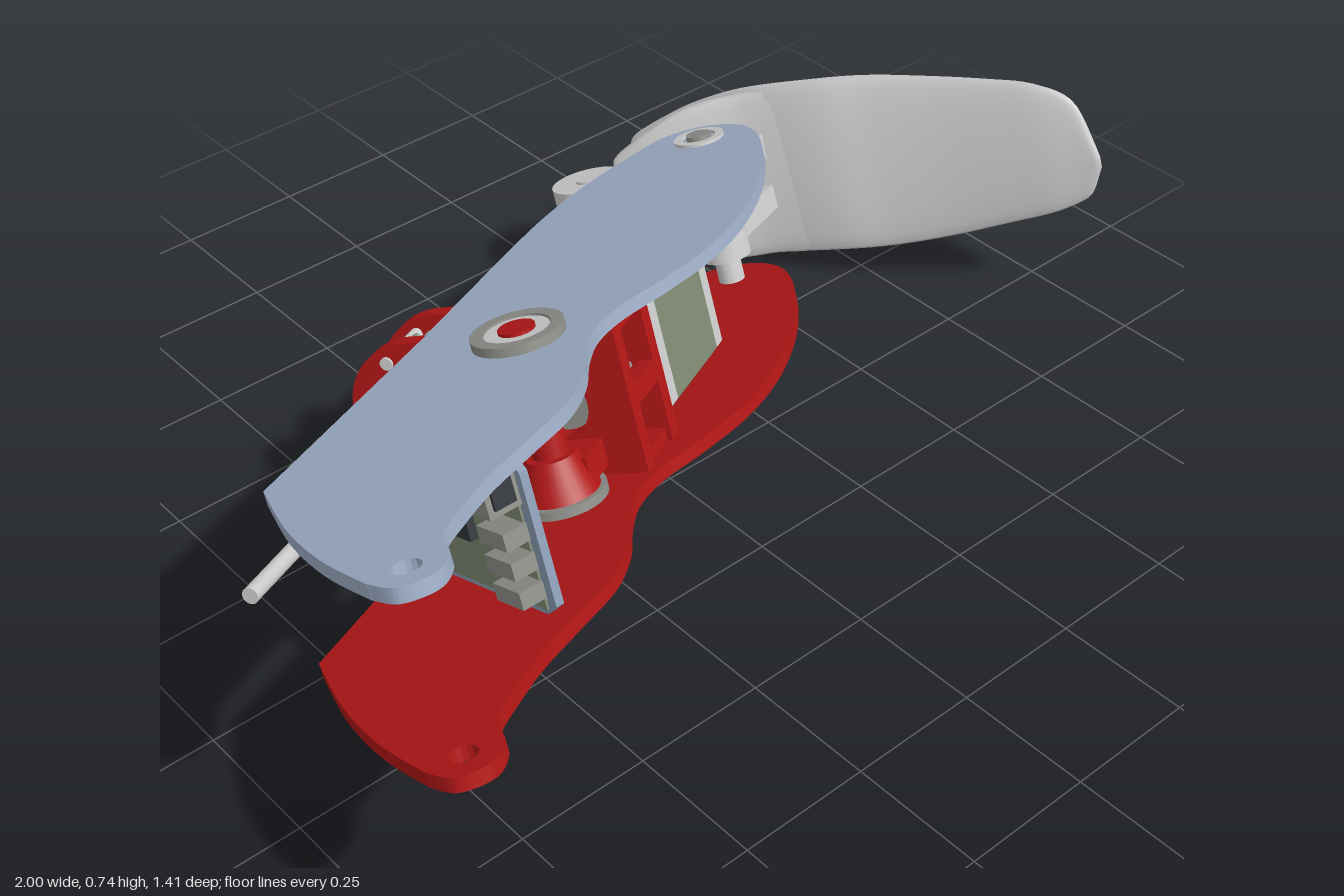
import * as THREE from 'three';

const mat = (color) => new THREE.MeshStandardMaterial({ color });
const GREY = mat(0xcccccc), BLUE = mat(0x9cacc4), RED = mat(0xb01616);
const GREEN = mat(0x7d8870), DARK = mat(0x30343a), BOARD = mat(0x8a9cb4), STEEL = mat(0x8d8d88);
const MID = 0.327; // height halfway between the two plates

function add(parent, name, geo, material, x = 0, y = 0, z = 0) {
  const m = new THREE.Mesh(geo, material);
  m.name = name;
  m.position.set(x, y, z);
  parent.add(m);
  return m;
}
const box = (w, h, d) => new THREE.BoxGeometry(w, h, d);
const cyl = (r, h, r2 = r, n = 32) => new THREE.CylinderGeometry(r, r2, h, n);
const cylX = (r, h, r2 = r, n = 32) => cyl(r, h, r2, n).rotateZ(-Math.PI / 2);
const hole = (x, y, r) => new THREE.Path().absarc(x, y, r, 0, Math.PI * 2, true);
const extrude = (s, depth, curveSegments = 24) =>
  new THREE.ExtrudeGeometry(s, { depth, bevelEnabled: false, curveSegments });

// flat ring lying around the vertical axis
function ring(rOut, rIn, h) {
  const s = new THREE.Shape().absarc(0, 0, rOut, 0, Math.PI * 2);
  s.holes.push(hole(0, 0, rIn));
  return extrude(s, h, 32).rotateX(Math.PI / 2).translate(0, h / 2, 0);
}

// toothed wheel whose axis is x
function gear(r, h, teeth) {
  const s = new THREE.Shape();
  for (let i = 0; i < teeth * 4; i++) {
    const a = (i / (teeth * 4)) * Math.PI * 2, k = i % 4 < 2 ? r : r * 0.87;
    s[i ? 'lineTo' : 'moveTo'](k * Math.cos(a), k * Math.sin(a));
  }
  s.holes.push(hole(0, 0, r * 0.25));
  return extrude(s, h).rotateY(Math.PI / 2).translate(-h / 2, 0, 0);
}

// side plate: curved outline with an eye at the far end
function plateGeometry() {
  const s = new THREE.Shape();
  const pts = (list) => list.map(([x, y]) => new THREE.Vector2(x, y));
  s.moveTo(-0.914, 0.304);
  s.lineTo(-0.449, 0.048);
  s.splineThru(pts([[-0.182, -0.11], [0.005, -0.215], [0.166, -0.282], [0.353, -0.328], [0.42, -0.33],
    [0.481, -0.293], [0.508, -0.219], [0.481, -0.134], [0.406, -0.032], [0.299, 0.077], [0.166, 0.179],
    [0.032, 0.247], [-0.102, 0.281], [-0.209, 0.298], [-0.289, 0.332], [-0.353, 0.389], [-0.422, 0.469],
    [-0.503, 0.532], [-0.61, 0.577], [-0.717, 0.622], [-0.797, 0.668], [-0.86, 0.712], [-0.884, 0.765],
    [-0.93, 0.799], [-0.984, 0.782], [-1, 0.731]]));
  s.splineThru(pts([[-0.995, 0.604], [-0.968, 0.463], [-0.914, 0.304]]));
  s.holes.push(hole(-0.941, 0.742, 0.023));
  return extrude(s, 0.025, 8).rotateX(Math.PI / 2);
}

// fin blade: lens-shaped sections along a path; stations are [x, z, top, bottom]
function bladeGeometry(stations, thick) {
  const path = new THREE.CatmullRomCurve3(stations.map(([x, z, t, b]) => new THREE.Vector3(x, (t + b) / 2, z)));
  const size = new THREE.CatmullRomCurve3(stations.map(([, , t, b], i) => new THREE.Vector3((t - b) / 2, i, 0)));
  const N = 60, M = 24, pos = [], idx = [];
  const up = new THREE.Vector3(0, 1, 0);
  for (let i = 0; i <= N; i++) {
    const s = i / N, p = path.getPoint(s), h = Math.max(0.001, size.getPoint(s).x);
    const n = path.getTangent(s).setY(0).normalize();
    n.crossVectors(up, n);
    const t = (thick / 2) * Math.pow(Math.max(0, Math.sin(Math.PI * s)), 0.4) + 0.001;
    for (let j = 0; j < M; j++) {
      const f = (j / M) * Math.PI * 2, c = Math.cos(f) * t;
      pos.push(p.x + n.x * c, p.y + Math.sin(f) * h, p.z + n.z * c);
      if (i < N) {
        const a = i * M + j, k = i * M + ((j + 1) % M);
        idx.push(a, k, a + M, k, k + M, a + M);
      }
    }
  }
  const g = new THREE.BufferGeometry();
  g.setAttribute('position', new THREE.Float32BufferAttribute(pos, 3));
  g.setIndex(idx);
  g.computeVertexNormals();
  return g;
}

// bar joining two points in plan
function arm(parent, name, [x1, z1], [x2, z2], h, w, y) {
  const m = add(parent, name, box(Math.hypot(x2 - x1, z2 - z1), h, w), GREY, (x1 + x2) / 2, y, (z1 + z2) / 2);
  m.rotation.y = Math.atan2(z1 - z2, x2 - x1);
}

export function createModel() {
  const root = new THREE.Group();
  root.name = 'finMechanism';
  const body = new THREE.Group();
  body.name = 'tiltedBody';
  body.rotation.x = -Math.PI / 9;
  root.add(body);

  // side plates
  add(body, 'upperPlate', plateGeometry(), BLUE, 0, 0.49, 0);
  add(body, 'lowerPlate', plateGeometry(), RED, 0, 0.19, 0);

  // fin: long blade, short split lobe, pivot and arms
  add(body, 'finBlade', bladeGeometry([
    [0.51, -0.625, 0.36, 0.34], [0.52, -0.605, 0.42, 0.25], [0.545, -0.54, 0.455, 0.195], [0.575, -0.45, 0.49, 0.175],
    [0.615, -0.33, 0.518, 0.16], [0.69, -0.2, 0.52, 0.15], [0.76, -0.115, 0.51, 0.143], [0.83, -0.02, 0.49, 0.148],
    [0.895, 0.08, 0.468, 0.162], [0.945, 0.16, 0.445, 0.175], [0.985, 0.22, 0.395, 0.2], [0.998, 0.25, 0.28, 0.26],
  ], 0.04), GREY);
  add(body, 'finLobe', bladeGeometry([
    [0.4, -0.54, 0.35, 0.31], [0.41, -0.53, 0.42, 0.22], [0.45, -0.48, 0.46, 0.18], [0.52, -0.41, 0.5, 0.165],
    [0.6, -0.33, 0.51, 0.16], [0.68, -0.22, 0.5, 0.17], [0.7, -0.195, 0.4, 0.3],
  ], 0.045), GREY);
  const pivot = [0.422, -0.242];
  add(body, 'finPivot', cyl(0.026, 0.3), GREY, pivot[0], MID, pivot[1]);
  add(body, 'pivotSleeve', cyl(0.05, 0.17), GREY, pivot[0], MID, pivot[1]);
  for (const y of [0.29, 0.4]) arm(body, 'finArm', pivot, [0.6, -0.32], 0.05, 0.07, y);
  arm(body, 'hornArm', pivot, [0.3, -0.465], 0.06, 0.06, MID);
  for (const [y, c] of [[0.488, 0.495], [0.167, 0.16]]) {
    add(body, 'pivotBearing', ring(0.05, 0.034, 0.016), GREY, pivot[0], y, pivot[1]);
    add(body, 'pivotBolt', cyl(0.024, 0.012), STEEL, pivot[0], c, pivot[1]);
  }

  // circuit board with connectors
  const bs = new THREE.Shape();
  [[-0.56, 0.21], [-0.53, 0.19], [-0.15, 0.19], [-0.15, 0.465], [-0.53, 0.465], [-0.56, 0.44]]
    .forEach(([x, y], i) => bs[i ? 'lineTo' : 'moveTo'](x, y));
  for (const [x, y] of [[-0.53, 0.22], [-0.47, 0.45], [-0.19, 0.22]]) bs.holes.push(hole(x, y, 0.01));
  add(body, 'circuitBoard', extrude(bs, 0.015).rotateY(Math.PI / 2), BOARD, -0.63, 0, 0);
  add(body, 'boardBack', box(0.004, 0.25, 0.38), GREEN, -0.633, MID, 0.35);
  add(body, 'socket', box(0.06, 0.07, 0.09), STEEL, -0.66, 0.42, 0.5);
  add(body, 'socketOpening', box(0.04, 0.045, 0.01), DARK, -0.66, 0.42, 0.546);
  for (const y of [0.24, 0.29, 0.34]) add(body, 'port', box(0.045, 0.03, 0.07), STEEL, -0.655, y, 0.51);
  for (const z of [0.24, 0.36]) add(body, 'chip', box(0.02, 0.07, 0.07), DARK, -0.64, MID, z);

  // drive train, turned to run along the arm
  const drive = new THREE.Group();
  drive.name = 'drive';
  drive.rotation.y = Math.PI / 6;
  drive.position.y = MID;
  body.add(drive);

  // motor: chamfered square section in three slices
  const ms = new THREE.Shape(), q = 0.128, c = 0.095;
  [[q, -c], [q, c], [c, q], [-c, q], [-q, c], [-q, -c], [-c, -q], [c, -q]]
    .forEach(([x, y], i) => ms[i ? 'lineTo' : 'moveTo'](x, y));
  const slice = (len) => extrude(ms, len).rotateY(Math.PI / 2);
  add(drive, 'motorCap', slice(0.04), GREY, -0.19, 0, 0);
  add(drive, 'motorBody', slice(0.21), GREEN, -0.15, 0, 0);
  add(drive, 'motorCap', slice(0.03), GREY, 0.06, 0, 0);
  add(drive, 'motorShaft', cylX(0.02, 0.2), GREY, -0.28, 0, 0);

  // red gear housing around motor shaft and push rod
  const rodZ = -0.257, R = 0.134;
  const hs = new THREE.Shape();
  hs.moveTo(-0.14, -R);
  hs.lineTo(-rodZ, -R);
  hs.absarc(-rodZ, 0, R, -Math.PI / 2, Math.PI / 2);
  hs.lineTo(-0.14, R);
  hs.closePath();
  hs.holes.push(hole(-rodZ, 0, 0.075), hole(0, 0, 0.06));
  for (const a of [-0.355, -0.235]) add(drive, 'housingWall', extrude(hs, 0.03).rotateY(Math.PI / 2), RED, a, 0, 0);
  for (const y of [-0.122, 0.122]) add(drive, 'housingBridge', box(0.1, 0.024, 0.1), RED, -0.28, y, 0.08);
  add(drive, 'housingBar', box(0.1, 0.04, 0.025), RED, -0.28, 0, 0.127);
  for (const y of [-0.1, 0.1]) add(drive, 'housingScrew', cylX(0.012, 0.16, 0.012, 16), GREY, -0.28, y, rodZ - 0.04);
  add(drive, 'motorGear', gear(0.115, 0.05, 24), STEEL, -0.285, 0, 0);
  add(drive, 'rodGear', gear(0.115, 0.05, 24), STEEL, -0.285, 0, rodZ);
  add(drive, 'rodBearing', cylX(0.075, 0.14), GREY, -0.28, 0, rodZ);

  // swivel hub of the housing between the plates
  add(drive, 'swivelPin', cyl(0.032, 0.365), RED, -0.432, 0, 0.01);
  for (const s of [-1, 1]) {
    add(drive, 'swivelHub', cyl(s > 0 ? 0.07 : 0.045, 0.07, s > 0 ? 0.045 : 0.07), RED, -0.432, s * 0.085, 0.01);
    add(drive, 'hubWeb', box(0.09, 0.05, 0.12), RED, -0.385, s * 0.09, 0.01);
    add(drive, 'swivelBearing', ring(0.08, 0.058, 0.06), STEEL, -0.432, s * 0.15, 0.01);
    add(drive, 'bearingInner', ring(0.056, 0.032, 0.054), GREY, -0.432, s * 0.15, 0.01);
  }

  // push rod and its forked end
  add(drive, 'pushRod', cylX(0.014, 1.28), GREY, -0.33, 0, rodZ);
  add(drive, 'rodSocket', cylX(0.032, 0.13), GREY, 0.355, 0, rodZ);
  add(drive, 'rodNeck', box(0.08, 0.09, 0.09), GREY, 0.43, 0, rodZ);
  for (const y of [-0.07, 0.07]) add(drive, 'forkDisc', cyl(0.075, 0.06), GREY, 0.49, y, rodZ);
  add(drive, 'hornEye', cyl(0.068, 0.07), GREY, 0.49, 0, rodZ);
  add(drive, 'forkPin', cyl(0.025, 0.21), GREY, 0.49, 0, rodZ);

  return root;
}
